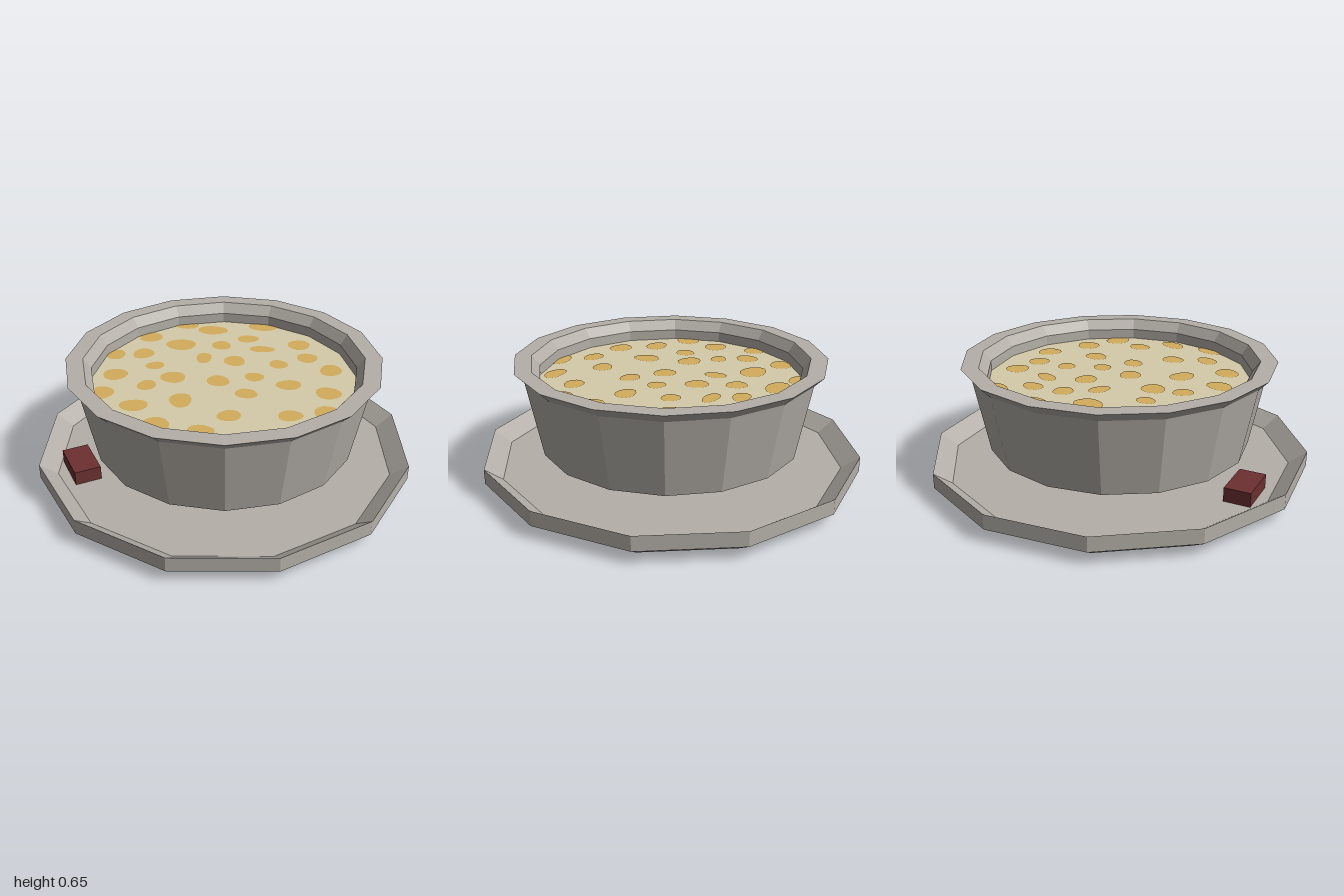
import * as THREE from 'three';
import { mergeGeometries } from 'three/addons/utils/BufferGeometryUtils.js';

const rad = THREE.MathUtils.degToRad;
const BOWL_SIDES = 16, BOWL_TURN = rad(2.6);
const PLATE_SIDES = 12, PLATE_TURN = rad(17);
const SOUP_Y = 0.54, SOUP_R = 0.7;

const paint = (name, color) => {
  const m = new THREE.MeshStandardMaterial({ color });
  m.name = name;
  return m;
};

// Faceted lathe: the profile runs from the bottom centre, up the outside, then back in
function facetedLathe(profile, sides, turn) {
  const points = profile.map(([r, y]) => new THREE.Vector2(r, y));
  const geo = new THREE.LatheGeometry(points, sides, turn).toNonIndexed();
  geo.computeVertexNormals();
  return geo;
}

// Flat spot with a slightly wobbly outline, trimmed to the soup's edge
function spot([x, z, rx, rz], index) {
  const geo = new THREE.CircleGeometry(1, 14).rotateX(-Math.PI / 2);
  const p = geo.attributes.position;
  const step = (2 * Math.PI) / BOWL_SIDES;
  for (let i = 0; i < p.count; i++) {
    const a = Math.atan2(p.getZ(i), p.getX(i));
    const wobble = 1 + 0.05 * Math.sin(2 * a + index) + 0.04 * Math.sin(3 * a + index * 2);
    let px = x + p.getX(i) * rx * wobble;
    let pz = z + p.getZ(i) * rz * wobble;
    const phi = Math.atan2(px, pz) - BOWL_TURN;
    const off = phi - (Math.floor(phi / step) + 0.5) * step;
    const edge = (SOUP_R * Math.cos(step / 2)) / Math.cos(off);
    const k = Math.min(1, (edge - 0.002) / Math.hypot(px, pz));
    p.setXYZ(i, px * k, SOUP_Y + 0.003, pz * k);
  }
  return geo;
}

// x, z, half width, half depth
const SPOTS = [
  [-0.25, -0.64, 0.07, 0.06], [-0.09, -0.57, 0.085, 0.06], [0.21, -0.63, 0.085, 0.06],
  [-0.44, -0.46, 0.065, 0.06], [0.12, -0.46, 0.065, 0.045], [-0.26, -0.37, 0.09, 0.065],
  [-0.03, -0.37, 0.055, 0.055], [0.2, -0.33, 0.07, 0.04], [0.41, -0.39, 0.06, 0.065],
  [-0.61, -0.23, 0.05, 0.06], [-0.46, -0.25, 0.06, 0.06], [-0.12, -0.21, 0.045, 0.06],
  [0.05, -0.18, 0.06, 0.06], [0.29, -0.15, 0.05, 0.05], [0.45, -0.23, 0.055, 0.06],
  [-0.38, -0.11, 0.05, 0.045], [0.57, -0.09, 0.06, 0.065], [-0.58, 0, 0.07, 0.06],
  [-0.27, 0.02, 0.07, 0.06], [-0.03, 0.05, 0.06, 0.06], [0.16, 0, 0.05, 0.05],
  [0.34, 0.08, 0.065, 0.055], [-0.4, 0.11, 0.05, 0.055], [-0.62, 0.2, 0.065, 0.065],
  [-0.21, 0.26, 0.06, 0.07], [0.12, 0.18, 0.06, 0.05], [0.54, 0.16, 0.065, 0.065],
  [-0.44, 0.32, 0.07, 0.06], [0.04, 0.4, 0.06, 0.055], [0.34, 0.39, 0.065, 0.05],
  [0.52, 0.36, 0.065, 0.07], [-0.31, 0.49, 0.07, 0.06], [-0.09, 0.54, 0.065, 0.05],
  [0.25, 0.57, 0.075, 0.05], [0.04, 0.67, 0.08, 0.045],
];

export function createModel() {
  const model = new THREE.Group();
  model.name = 'bowlOnPlate';
  const stone = paint('stoneGrey', 0xb4afa8);
  const cream = paint('creamSoup', 0xd5caa9);
  const gold = paint('goldenSpots', 0xd3ad5c);
  const red = paint('darkRed', 0x6c3030);

  const add = (name, geo, material) => {
    const mesh = new THREE.Mesh(geo, material);
    mesh.name = name;
    model.add(mesh);
    return mesh;
  };

  // Plate with a bevelled underside and a sunken floor
  const plate = add('plate', facetedLathe(
    [[0, 0], [0.91, 0], [1.02, 0.07], [1.02, 0.15], [0.925, 0.08], [0, 0.08]],
    PLATE_SIDES, PLATE_TURN), stone);
  plate.scale.set(0.99, 1, 1.005);

  // Bowl with flared rim, bevelled lip and open inside
  add('bowl', facetedLathe(
    [[0, 0.08], [0.48, 0.08], [0.7, 0.19], [0.78, 0.6], [0.83, 0.65], [0.74, 0.65],
      [SOUP_R, 0.595], [SOUP_R, SOUP_Y - 0.02]],
    BOWL_SIDES, BOWL_TURN), stone);

  // Soup surface and its floating spots
  add('soup', facetedLathe([[SOUP_R, SOUP_Y], [0, SOUP_Y]], BOWL_SIDES, BOWL_TURN), cream);
  add('soupSpots', mergeGeometries(SPOTS.map(spot)), gold);

  // Small block resting on the plate beside the bowl
  const block = add('sideBlock', new THREE.BoxGeometry(0.14, 0.075, 0.235), red);
  block.position.set(-0.753, 0.1175, 0.233);
  block.rotation.y = 0.48;

  return model;
}
